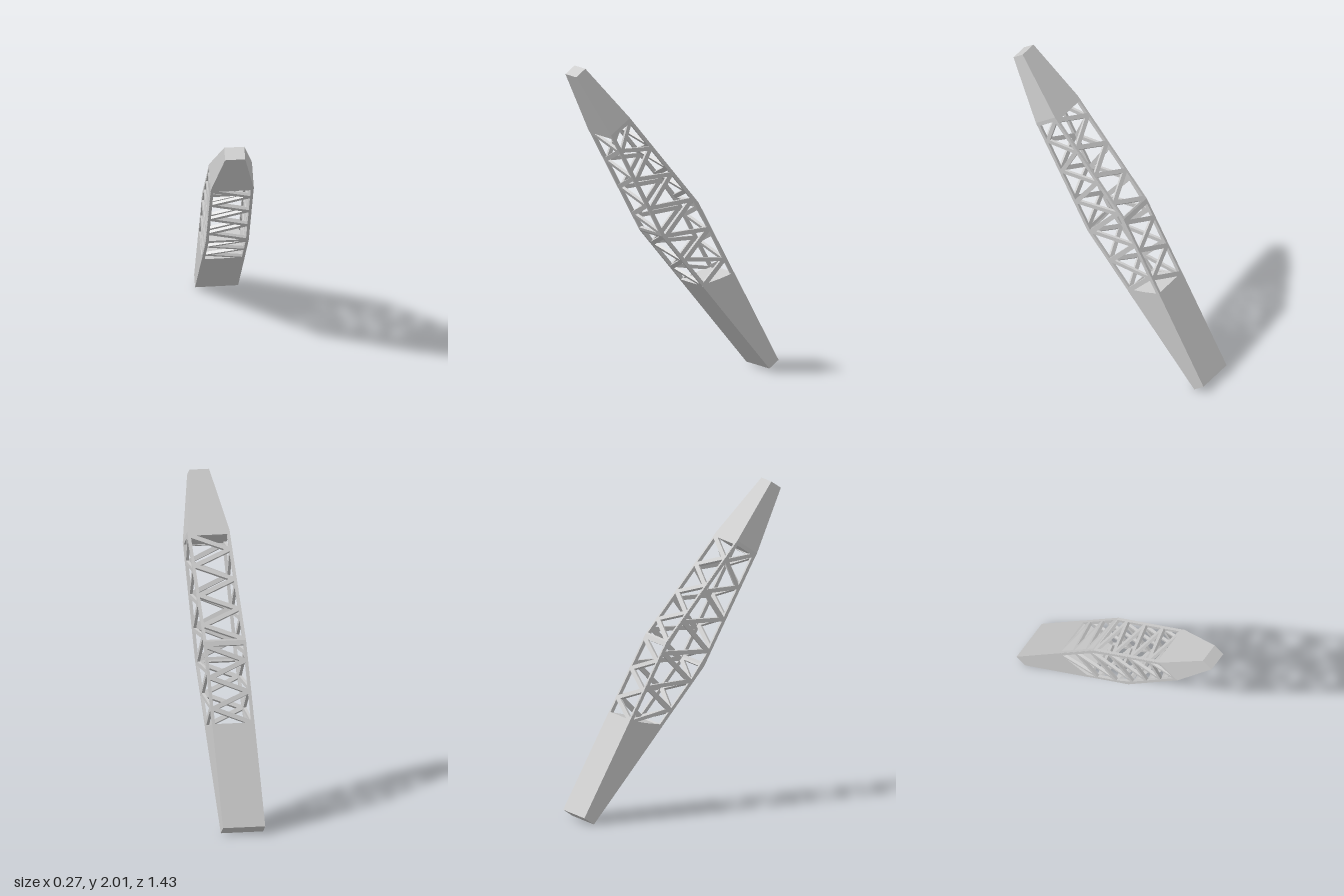
import * as THREE from 'three';
import { ConvexGeometry } from 'three/addons/geometries/ConvexGeometry.js';

const W = 0.133;      // half width of the boom
const D = 0.162;      // half depth at the knee
const END = 1.193;    // half length
const TIP = 0.041;    // half depth at both ends
const WALL = 0.018;   // plate thickness
const CHORD = 0.018;  // rail left beside the cut-outs
const FRONT_LOW = -0.45, BACK_LOW = -0.53, HIGH = 0.74;  // ends of the lattice

const slope = (D - TIP) / END;
const tilt = Math.atan(slope);
const depthAt = (s) => D - slope * Math.abs(s);
const material = new THREE.MeshStandardMaterial({ color: 0xcccccc });

// Cut a zigzag of triangles; point(w, f) maps across -1..1 and along 0..1
function cutZigzag(shape, point, length, n, firstSide) {
  const d = 0.0155 * n / length;
  for (let i = 0; i <= n; i++) {
    const e = i % 2 ? -firstSide : firstSide;
    const a = Math.max(0, i - 1 + d), b = Math.min(n, i + 1 - d);
    shape.holes.push(new THREE.Path([
      point(-e, a / n), point(-e, b / n), point(e * (1 - 2 * d), i / n),
    ]));
  }
}

function plate(shape) {
  return new THREE.ExtrudeGeometry(shape, { depth: WALL, bevelEnabled: false });
}

function mesh(name, geometry) {
  const m = new THREE.Mesh(geometry, material);
  m.name = name;
  return m;
}

// Flat lattice plate between two distances from the knee
function facePanel(name, l0, l1, n, firstSide) {
  const lower = l0 < 0;
  const lo = lower ? l0 - 0.02 : 0, hi = lower ? 0 : l1 + 0.02;
  const w = W - 0.001;
  const shape = new THREE.Shape([
    new THREE.Vector2(-w, lo), new THREE.Vector2(w, lo),
    new THREE.Vector2(w, hi), new THREE.Vector2(-w, hi),
  ]);
  const point = (u, f) => new THREE.Vector2(u * (W - CHORD), l0 + (l1 - l0) * f);
  cutZigzag(shape, point, l1 - l0, n, firstSide);
  const m = mesh(name, plate(shape).translate(0, 0, -WALL));
  m.rotation.x = lower ? tilt : -tilt;
  m.position.z = D;
  return m;
}

// Bent side plate with one continuous zigzag
function sidePanel(name, x, firstSide) {
  const edge = (s, e) => new THREE.Vector2(e * (depthAt(s) - 0.002), s);
  const shape = new THREE.Shape([
    edge(BACK_LOW - 0.02, -1), edge(FRONT_LOW - 0.02, 1), edge(0, 1),
    edge(HIGH + 0.02, 1), edge(HIGH + 0.02, -1), edge(0, -1),
  ]);
  const point = (w, f) => {
    const start = (FRONT_LOW + BACK_LOW) / 2 + w * (FRONT_LOW - BACK_LOW) / 2;
    const s = start + (HIGH - start) * f;
    return new THREE.Vector2(w * (depthAt(s) - CHORD - 0.004), s);
  };
  cutZigzag(shape, point, HIGH + 0.49, 11, firstSide);
  const m = mesh(name, plate(shape).rotateY(-Math.PI / 2));
  m.position.x = x;
  return m;
}

// Solid end made from cross-sections [front height, back height, half width]
function solidEnd(name, sections) {
  const pts = [];
  for (const [front, back, w] of sections) {
    for (const x of [-w, w]) {
      pts.push(new THREE.Vector3(x, front, depthAt(front)));
      pts.push(new THREE.Vector3(x, back, -depthAt(back)));
    }
  }
  return mesh(name, new ConvexGeometry(pts));
}

export function createModel() {
  const boom = new THREE.Group();
  boom.name = 'latticeBoom';

  // Solid ends: plain foot, tapered head
  boom.add(solidEnd('foot', [[-END, -END, W], [FRONT_LOW, BACK_LOW, W]]));
  boom.add(solidEnd('head', [[HIGH, HIGH, W], [0.765, 0.765, W], [END, END, 0.062]]));

  // Front and back lattice faces
  boom.add(facePanel('frontLowerLattice', FRONT_LOW, -0.015, 4, 1));
  boom.add(facePanel('frontUpperLattice', 0.02, HIGH, 7, 1));
  const back = new THREE.Group();
  back.name = 'backLattice';
  back.rotation.y = Math.PI;
  back.add(facePanel('backLowerLattice', BACK_LOW, -0.03, 5, 1));
  back.add(facePanel('backUpperLattice', 0.012, HIGH, 7, 1));
  boom.add(back);

  // Side lattices, zigzags opposed
  boom.add(sidePanel('leftLattice', W, 1));
  boom.add(sidePanel('rightLattice', -W + WALL, -1));

  // Lean the boom forward
  boom.rotation.x = 0.608;
  boom.position.y = 1.002;

  const model = new THREE.Group();
  model.name = 'leaningBoom';
  model.add(boom);
  return model;
}
